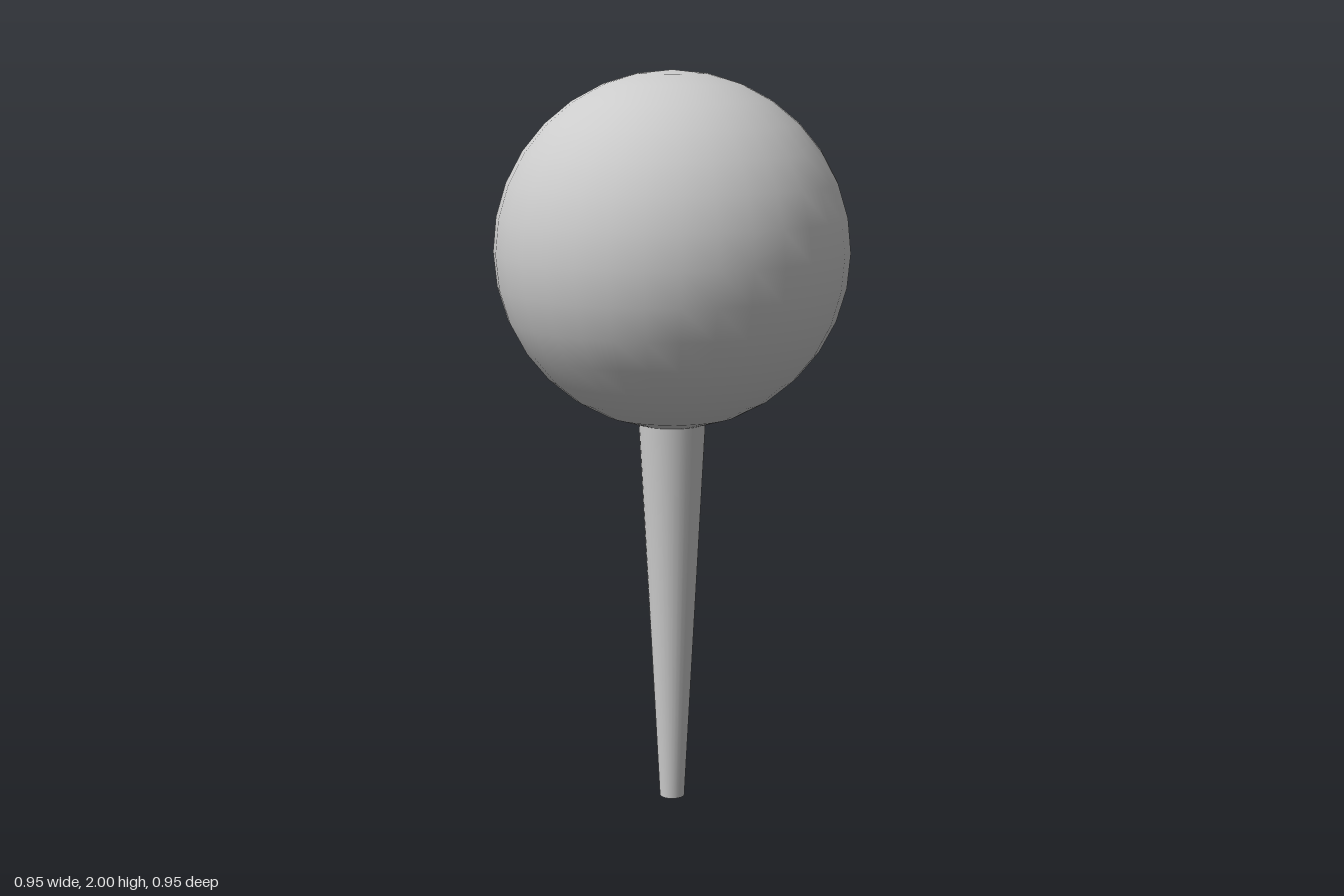
import * as THREE from 'three';

export function createModel() {
  const model = new THREE.Group();
  const material = new THREE.MeshStandardMaterial({ color: 0xcccccc });

  const addPart = (name, geometry, y) => {
    const mesh = new THREE.Mesh(geometry, material);
    mesh.name = name;
    mesh.position.y = y;
    model.add(mesh);
  };

  // Round head
  const headRadius = 0.475;
  addPart('head', new THREE.SphereGeometry(headRadius, 32, 16), 2 - headRadius);

  // Tapered stem, its top just inside the head
  const stemHeight = 1.07;
  addPart('stem', new THREE.CylinderGeometry(0.091, 0.034, stemHeight, 32), stemHeight / 2);

  return model;
}
